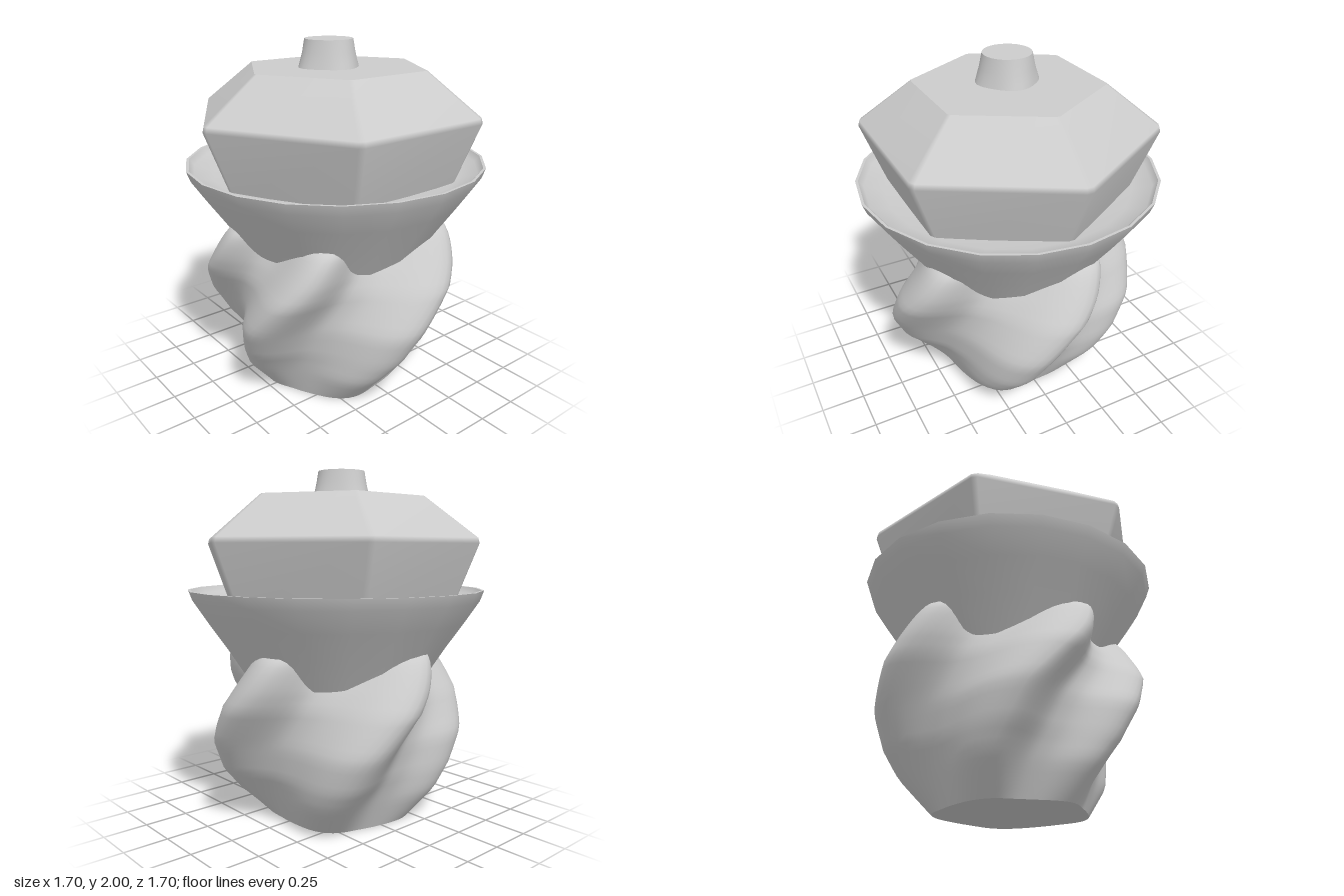
import * as THREE from 'three';

const grey = () => new THREE.MeshStandardMaterial({ color: 0xcccccc, side: THREE.DoubleSide });

function part(name, geometry) {
  const mesh = new THREE.Mesh(geometry, grey());
  mesh.name = name;
  return mesh;
}

// Stacked closed rings; point(i, j) gives [x, y, z], angles run from +z towards +x
function loft(rows, cols, point) {
  const pos = [], index = [];
  for (let i = 0; i < rows; i++) for (let j = 0; j < cols; j++) pos.push(...point(i, j));
  for (let i = 0; i < rows - 1; i++) {
    for (let j = 0; j < cols; j++) {
      const k = (j + 1) % cols;
      const a = i * cols + j, b = i * cols + k, c = a + cols, d = b + cols;
      index.push(a, b, d, a, d, c);
    }
  }
  const g = new THREE.BufferGeometry();
  g.setAttribute('position', new THREE.Float32BufferAttribute(pos, 3));
  g.setIndex(index);
  g.computeVertexNormals();
  return g;
}

// Flat lid over one ring, facing up or down
function cap(cols, point, i, up) {
  const ring = Array.from({ length: cols }, (_, j) => point(i, j));
  const centre = [0, 1, 2].map(k => ring.reduce((s, p) => s + p[k], 0) / cols);
  const pos = [];
  ring.forEach((p, j) => {
    const q = ring[(j + 1) % cols];
    pos.push(...centre, ...(up ? p : q), ...(up ? q : p));
  });
  const g = new THREE.BufferGeometry();
  g.setAttribute('position', new THREE.Float32BufferAttribute(pos, 3));
  g.computeVertexNormals();
  return g;
}

// Piecewise linear lookup in [key, value...] rows
function lookup(rows, y, k) {
  let i = 0;
  while (i < rows.length - 2 && y > rows[i + 1][0]) i++;
  const [a, b] = [rows[i], rows[i + 1]];
  return THREE.MathUtils.lerp(a[k], b[k], (y - a[0]) / (b[0] - a[0]));
}

export function createModel() {
  const group = new THREE.Group();

  // Twisted bulb with five leaning lobes: height, crest radius, valley radius, twist
  const bulb = [
    [0, 0.43, 0.39, -24], [0.18, 0.595, 0.46, -18], [0.32, 0.68, 0.51, -10],
    [0.5, 0.75, 0.545, -2], [0.72, 0.765, 0.55, 14], [0.82, 0.74, 0.525, 21],
    [0.89, 0.715, 0.49, 25], [0.95, 0.69, 0.46, 28], [1.02, 0.64, 0.42, 31], [1.08, 0.45, 0.38, 34],
  ];
  const crests = [0, 78, 154, 232, 287, 360];
  const bulbRows = 28, lobeCols = 20, bulbCols = lobeCols * 5;
  const bulbPoint = (i, j) => {
    const y = 1.08 * i / (bulbRows - 1);
    const lobe = Math.floor(j / lobeCols), u = j / lobeCols - lobe;
    const gap = crests[lobe + 1] - crests[lobe];
    const crest = lookup(bulb, y, 1);
    const depth = (crest - lookup(bulb, y, 2)) * Math.min(1, gap / 72);
    // steeper fall after each crest, broad round valley, longer rise to the next one
    const low = 0.43;
    const height = u < low ? 1 - u / low : (u - low) / (1 - low);
    const r = crest - depth * (1 - (0.5 - 0.5 * Math.cos(height * Math.PI)) ** 1.35);
    const a = THREE.MathUtils.degToRad(crests[lobe] + u * gap + lookup(bulb, y, 3));
    const shift = -0.03 * Math.max(0, 1 - y / 0.3);
    return [r * Math.sin(a) + shift, y, r * Math.cos(a)];
  };
  group.add(part('twistedBulb', loft(bulbRows, bulbCols, bulbPoint)));
  group.add(part('bulbBase', cap(bulbCols, bulbPoint, 0, false)));

  // Flared collar and the shallow dish inside its rim
  const lathe = pts => new THREE.LatheGeometry(pts.map(p => new THREE.Vector2(...p)), 20);
  group.add(part('collar', lathe([[0.45, 0.7], [0.515, 0.8], [0.645, 1], [0.75, 1.15], [0.83, 1.27], [0.852, 1.33]])));
  group.add(part('collarRim', lathe([[0.852, 1.33], [0.837, 1.33]])));
  group.add(part('collarDish', lathe([[0.837, 1.33], [0.81, 1.295], [0.7, 1.26], [0.5, 1.24]])));

  // Hexagonal crown with narrow bevels on its ridges: corner radius, height
  const crown = [[0.69, 1.23], [0.832, 1.59], [0.824, 1.62], [0.521, 1.85]];
  const crownPoint = (i, j) => {
    const [r, y] = crown[i];
    const at = k => {
      const a = k * Math.PI / 3 + Math.PI / 6;
      return new THREE.Vector3(r * Math.sin(a), y, r * Math.cos(a));
    };
    const corner = Math.floor(j / 2);
    return at(corner).lerp(at(corner + (j % 2 ? 1 : -1)), 0.025).toArray();
  };
  group.add(part('crown', loft(crown.length, 12, crownPoint)));
  group.add(part('crownTop', cap(12, crownPoint, 3, true)));

  // Short stub on top with an uneven foot: radius, height, unevenness
  const stub = [[0.17, 1.845, 0.008], [0.16, 1.88, 0.006], [0.147, 1.93, 0.003], [0.133, 2, 0]];
  const stubPoint = (i, j) => {
    const [r0, y, wobble] = stub[i];
    const a = j / 28 * Math.PI * 2;
    const r = r0 + wobble * Math.cos(4 * a + 0.4);
    return [-0.035 + r * Math.sin(a), y, -0.013 + r * Math.cos(a)];
  };
  group.add(part('stub', loft(stub.length, 28, stubPoint)));
  group.add(part('stubTop', cap(28, stubPoint, 3, true)));

  return group;
}
